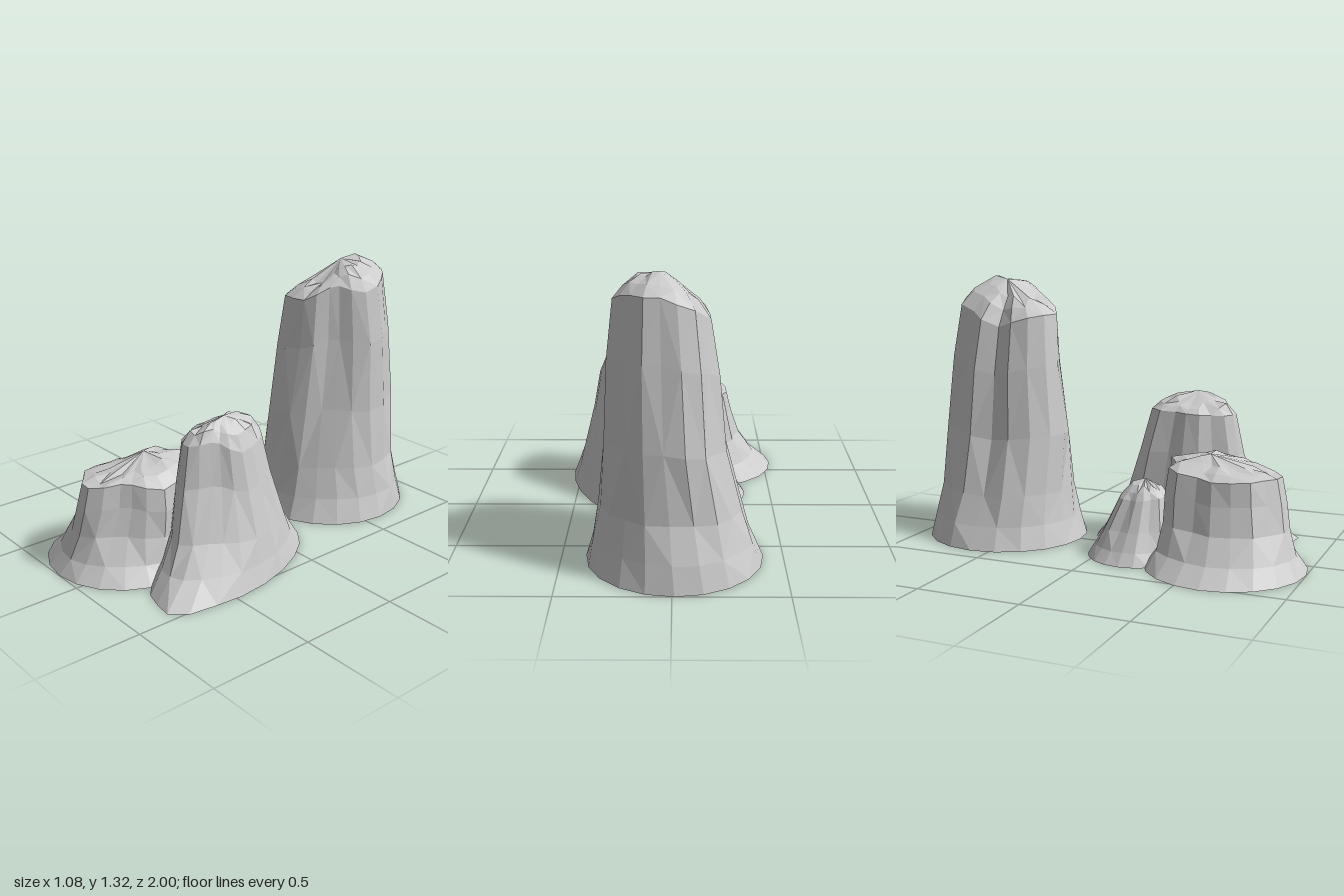
import * as THREE from 'three';

const SIDES = 20;
const material = new THREE.MeshStandardMaterial({ color: 0xcccccc, flatShading: true, side: THREE.DoubleSide });

// Small seeded random generator
function seeded(seed) {
  let s = seed;
  return () => (s = (s * 16807) % 2147483647) / 2147483647;
}

// Value of a looping list at fraction t of a turn
function around(list, t) {
  const f = t * list.length, i = Math.floor(f);
  return THREE.MathUtils.lerp(list[i % list.length], list[(i + 1) % list.length], f - i);
}

// Rock: rings [height fraction, cx, cz, rx, rz, skew] from base to rim, then a faceted crown.
// rim and crown hold heights around the turn, starting at +x and going towards +z.
// shape holds radius factors around the turn, growing in from the base upwards.
// grooves are [side index, depth] pairs: vertical cracks down the wall.
// toe lists sides where the foot juts out.
function rock({ name, rings, rim, crown, shape, peak, grooves, toe = [], seed }) {
  const rand = seeded(seed), pos = [], index = [];
  const top = rings[rings.length - 1];
  const loops = [
    ...rings.map((r) => ({ r, height: (t) => r[0] * around(rim, t), scale: 1 })),
    { r: top, height: (t) => THREE.MathUtils.lerp(around(rim, t), around(crown, t), 0.6), scale: 0.78, cap: true },
    { r: top, height: (t) => around(crown, t), scale: 0.48, cap: true },
  ];
  for (const { r, height, scale, cap } of loops) {
    const [f, cx, cz, rx, rz, skew = 0] = r;
    const grow = Math.min(1, f * 1.6);
    for (let i = 0; i < SIDES; i++) {
      const t = i / SIDES, a = t * Math.PI * 2;
      const groove = grooves.find((g) => g[0] === i);
      let k = scale * THREE.MathUtils.lerp(1, around(shape, t), grow);
      if (f > 0) k *= 1 + (rand() - 0.5) * (cap ? 0.1 : 0.04);
      else if (toe.includes(i)) k *= 1.08;
      if (groove) k *= 1 - groove[1] * grow;
      const dz = Math.sin(a) * rz * k;
      const bump = cap ? (rand() - 0.5) * 0.025 : 0;
      pos.push(cx + Math.cos(a) * rx * k + dz * skew, height(t) + bump, cz + dz);
    }
  }
  for (let j = 0; j < loops.length - 1; j++) {
    for (let i = 0; i < SIDES; i++) {
      const a = j * SIDES + i, b = j * SIDES + (i + 1) % SIDES, c = a + SIDES, d = b + SIDES;
      if ((i + j) % 2) index.push(a, c, b, b, c, d);
      else index.push(a, d, b, a, c, d);
    }
  }
  // Close the crown at its peak
  const last = (loops.length - 1) * SIDES;
  pos.push(...peak);
  for (let i = 0; i < SIDES; i++) index.push(last + i, last + SIDES, last + (i + 1) % SIDES);

  const geometry = new THREE.BufferGeometry();
  geometry.setAttribute('position', new THREE.Float32BufferAttribute(pos, 3));
  geometry.setIndex(index);
  geometry.computeVertexNormals();
  const mesh = new THREE.Mesh(geometry, material);
  mesh.name = name;
  return mesh;
}

export function createModel() {
  const group = new THREE.Group();
  group.name = 'rockCluster';

  group.add(rock({
    name: 'tallRock', seed: 11,
    rings: [
      [0, -0.01, -0.595, 0.4, 0.405],
      [0.1, 0, -0.595, 0.365, 0.375],
      [0.23, 0.01, -0.58, 0.325, 0.345],
      [0.48, 0.035, -0.58, 0.27, 0.33],
      [0.78, 0.045, -0.58, 0.245, 0.285],
      [1, 0.05, -0.57, 0.21, 0.25],
    ],
    rim: [1.17, 1.21, 1.13, 1.13, 1.07, 1.16, 1.23, 1.23],
    crown: [1.29, 1.27, 1.2, 1.2, 1.22, 1.26, 1.31, 1.3],
    shape: [0.96, 0.59, 0.95, 1.14, 1, 1.2, 1, 1.1],
    peak: [0.03, 1.3, -0.61],
    grooves: [[5, 0.06], [10, 0.12], [12, 0.14], [17, 0.08], [18, 0.1]],
  }));

  group.add(rock({
    name: 'frontRock', seed: 23,
    rings: [
      [0, -0.15, 0.62, 0.385, 0.38],
      [0.18, -0.125, 0.62, 0.31, 0.335],
      [0.45, -0.1, 0.61, 0.255, 0.305],
      [0.75, -0.08, 0.6, 0.235, 0.285],
      [1, -0.075, 0.595, 0.215, 0.27],
    ],
    rim: [0.42, 0.45, 0.43, 0.43, 0.42, 0.45, 0.48, 0.46],
    crown: [0.49, 0.48, 0.455, 0.455, 0.46, 0.49, 0.51, 0.5],
    shape: [1, 0.62, 1, 1.08, 1, 1.12, 1, 1],
    peak: [-0.11, 0.515, 0.53],
    grooves: [[7, 0.06], [11, 0.12], [14, 0.14], [16, 0.1]],
  }));

  group.add(rock({
    name: 'sideRock', seed: 37,
    rings: [
      [0, 0.26, 0.32, 0.265, 0.485, 0.2],
      [0.15, 0.26, 0.32, 0.24, 0.4, 0.18],
      [0.34, 0.255, 0.32, 0.215, 0.325, 0.15],
      [0.7, 0.24, 0.325, 0.178, 0.25, 0.1],
      [1, 0.235, 0.335, 0.148, 0.205, 0.08],
    ],
    rim: [0.61, 0.67, 0.65, 0.65, 0.66, 0.67, 0.66, 0.63],
    crown: [0.73, 0.74, 0.73, 0.71, 0.7, 0.72, 0.74, 0.74],
    shape: [1, 0.64, 1, 1.04, 1, 1.18, 1, 1.05],
    peak: [0.26, 0.755, 0.34],
    grooves: [[8, 0.1], [11, 0.12], [13, 0.08]],
    toe: [3, 4],
  }));

  group.add(rock({
    name: 'smallRock', seed: 53,
    rings: [
      [0, -0.135, 0.17, 0.235, 0.235],
      [0.2, -0.13, 0.175, 0.2, 0.2],
      [0.5, -0.12, 0.185, 0.165, 0.165],
      [1, -0.105, 0.2, 0.115, 0.115],
    ],
    rim: [0.29, 0.31, 0.3, 0.29, 0.28, 0.28, 0.29, 0.3],
    crown: [0.34, 0.34, 0.34, 0.34, 0.33, 0.34, 0.35, 0.34],
    shape: [1, 0.8, 1, 1.05, 1, 1.1, 1, 1],
    peak: [-0.1, 0.37, 0.2],
    grooves: [[8, 0.1], [11, 0.12], [16, 0.12]],
  }));

  return group;
}
